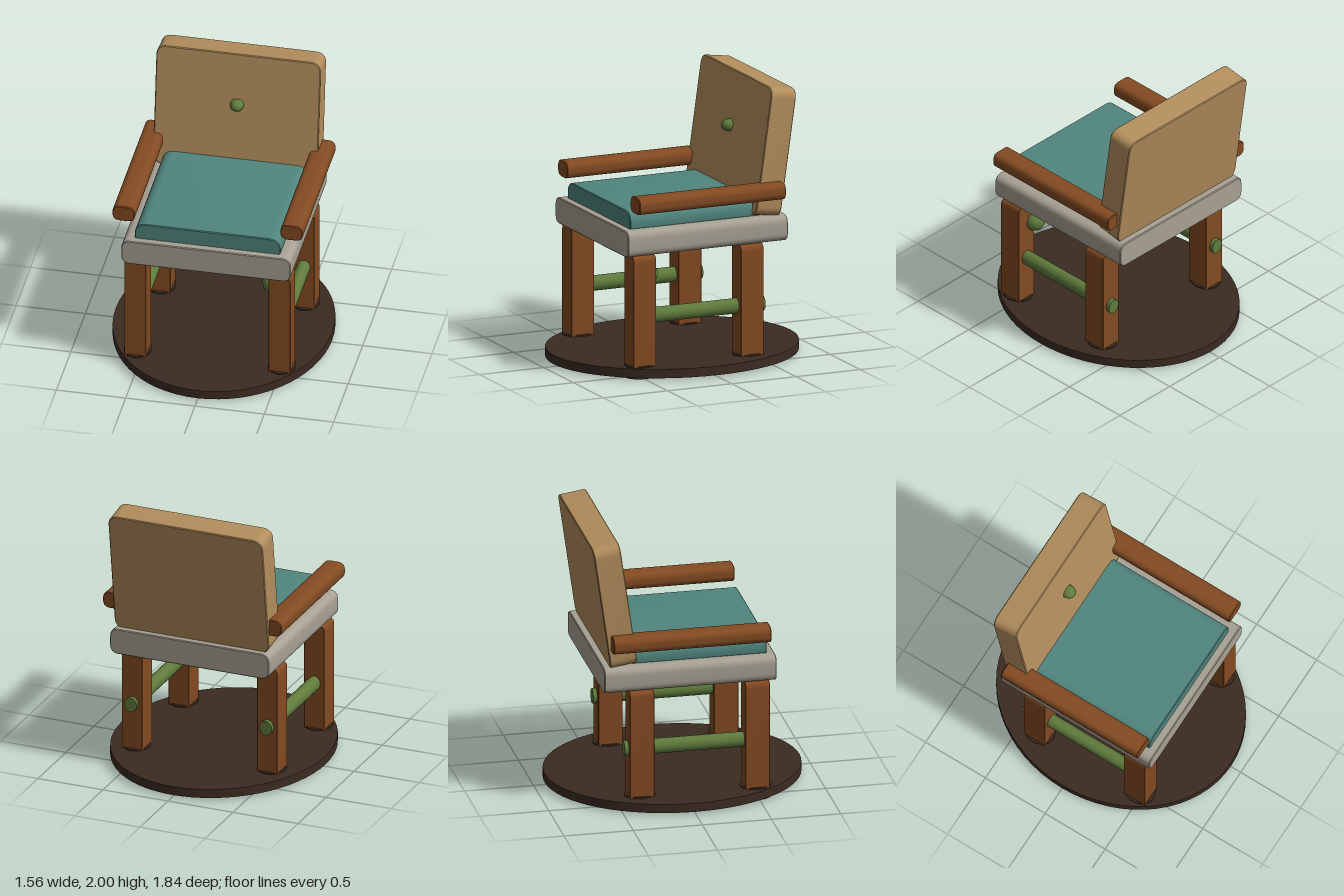
import * as THREE from 'three';
import { toCreasedNormals } from 'three/addons/utils/BufferGeometryUtils.js';

const material = (name, color) => {
  const m = new THREE.MeshStandardMaterial({ color });
  m.name = name;
  return m;
};

// Rounded rectangle in xy, extruded along z and centred; r and rBottom are corner radii
function slab(w, h, d, r, rBottom = r, bevel = 0.006) {
  const x = w / 2 - bevel, y = h / 2 - bevel;
  const s = new THREE.Shape();
  s.moveTo(-x + rBottom, -y);
  s.lineTo(x - rBottom, -y);
  s.quadraticCurveTo(x, -y, x, -y + rBottom);
  s.lineTo(x, y - r);
  s.quadraticCurveTo(x, y, x - r, y);
  s.lineTo(-x + r, y);
  s.quadraticCurveTo(-x, y, -x, y - r);
  s.lineTo(-x, -y + rBottom);
  s.quadraticCurveTo(-x, -y, -x + rBottom, -y);
  const g = new THREE.ExtrudeGeometry(s, {
    depth: d - 2 * bevel, bevelEnabled: true, bevelThickness: bevel,
    bevelSize: bevel, bevelSegments: 1, curveSegments: 8,
  });
  g.translate(0, 0, -d / 2 + bevel);
  return toCreasedNormals(g, 0.6);
}

export function createModel() {
  const group = new THREE.Group();
  group.name = 'armchair';

  const tan = material('tan back', 0xb38e5d);
  const wood = material('brown wood', 0x844b22);
  const teal = material('teal cushion', 0x50857e);
  const grey = material('grey seat', 0xa8a194);
  const green = material('green trim', 0x5f7b3c);
  const dark = material('dark base', 0x3b2b22);

  const add = (name, geometry, mat, x, y, z) => {
    const mesh = new THREE.Mesh(geometry, mat);
    mesh.name = name;
    mesh.position.set(x, y, z);
    group.add(mesh);
    return mesh;
  };

  // Oval floor disc
  add('baseDisc', new THREE.CylinderGeometry(0.92, 0.92, 0.065, 64), dark, 0, 0.0475, 0).scale.x = 0.848;

  // Seat, cushion and leaning back
  add('seat', slab(1.22, 0.19, 1.245, 0.055), grey, 0, 0.98, 0.002);
  add('cushion', slab(1.05, 0.13, 1.02, 0.08, 0.015), teal, 0, 1.131, 0.06);
  add('backrest', slab(1.185, 0.924, 0.195, 0.07), tan, 0, 1.532, -0.5375).rotation.x = -0.141;
  add('backButton', new THREE.SphereGeometry(0.05, 24, 16), green, 0, 1.615, -0.445).scale.set(1, 0.88, 1.2);

  // Legs, feet, armrests and stretchers, mirrored left and right
  const leg = slab(0.157, 0.84, 0.177, 0.045, 0.02, 0.003);
  const foot = new THREE.CylinderGeometry(0.113, 0.113, 0.09, 28);
  const arm = slab(0.16, 0.12, 1.14, 0.045);
  const stretcher = new THREE.CylinderGeometry(0.055, 0.055, 0.965, 24);
  stretcher.rotateX(Math.PI / 2);
  for (const side of [1, -1]) {
    const label = side > 0 ? 'Left' : 'Right';
    for (const [end, z] of [['front', 0.489], ['back', -0.347]]) {
      add(end + label + 'Leg', leg, wood, side * 0.52, 0.467, z);
      add(end + label + 'Foot', foot, dark, side * 0.52, 0.045, z).scale.x = 0.86;
    }
    add('armrest' + label, arm, wood, side * 0.606, 1.265, 0);
    add('stretcher' + label, stretcher, green, side * 0.52, 0.435, 0.0175).scale.x = 0.87;
  }

  // Round knob on the inner corner of the front left leg
  add('legKnob', new THREE.SphereGeometry(0.077, 24, 16), green, 0.438, 0.717, 0.4);

  return group;
}
